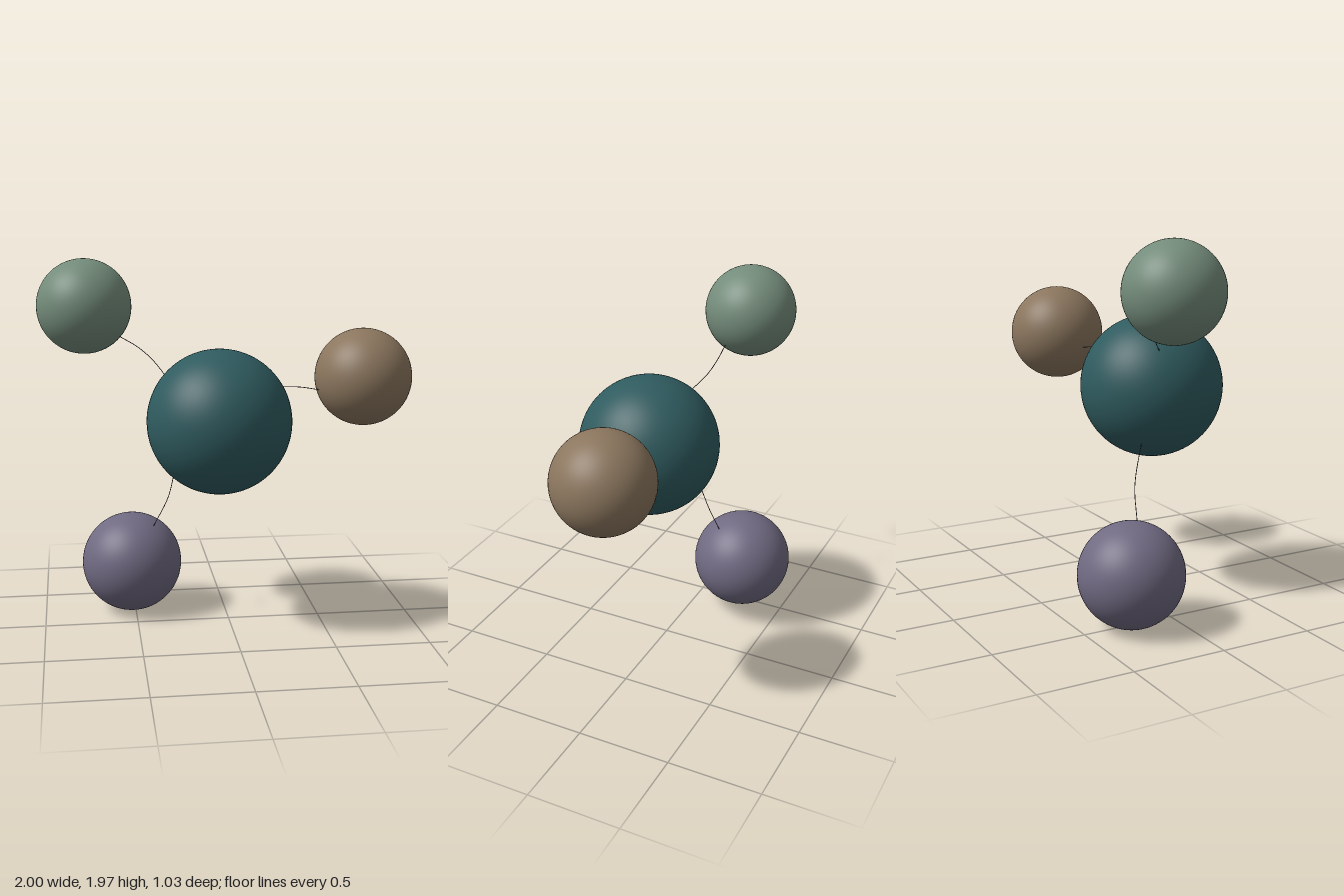
import * as THREE from 'three';

function material(name, color) {
  const m = new THREE.MeshStandardMaterial({ color });
  m.name = name;
  return m;
}

export function createModel() {
  const group = new THREE.Group();
  const dark = material('dark grey', 0x4a4a4a);

  // Large hub with three smaller satellites: name, centre, radius, material
  const spheres = [
    ['hubSphere', [-0.065, 1.138, 0.137], 0.38, material('deep teal', 0x2f5b5f)],
    ['upperSphere', [-0.75, 1.72, -0.147], 0.25, material('sage green', 0x748c7b)],
    ['sideSphere', [0.737, 1.333, -0.028], 0.262, material('warm brown', 0x8b765e)],
    ['lowerSphere', [-0.515, 0.277, -0.24], 0.275, material('muted purple', 0x706a82)],
  ];
  for (const [name, centre, radius, mat] of spheres) {
    const mesh = new THREE.Mesh(new THREE.SphereGeometry(radius, 64, 48), mat);
    mesh.name = name;
    mesh.position.set(...centre);
    group.add(mesh);
  }

  // Hair-thin bowed threads, their ends tucked into the spheres
  const threads = [
    ['upperThread', [[-0.33, 1.36, 0.03], [-0.4, 1.445, -0.042], [-0.473, 1.508, -0.07], [-0.575, 1.57, -0.077]]],
    ['sideThread', [[0.24, 1.305, 0.085], [0.3, 1.3, 0.053], [0.39, 1.29, 0.018], [0.495, 1.271, 0.012]]],
    ['lowerThread', [[-0.26, 0.93, -0.02], [-0.285, 0.83, -0.063], [-0.32, 0.67, -0.11], [-0.398, 0.505, -0.14]]],
  ];
  for (const [name, points] of threads) {
    const curve = new THREE.CatmullRomCurve3(points.map((p) => new THREE.Vector3(...p)));
    const mesh = new THREE.Mesh(new THREE.TubeGeometry(curve, 32, 0.002, 8), dark);
    mesh.name = name;
    group.add(mesh);
  }
  return group;
}
